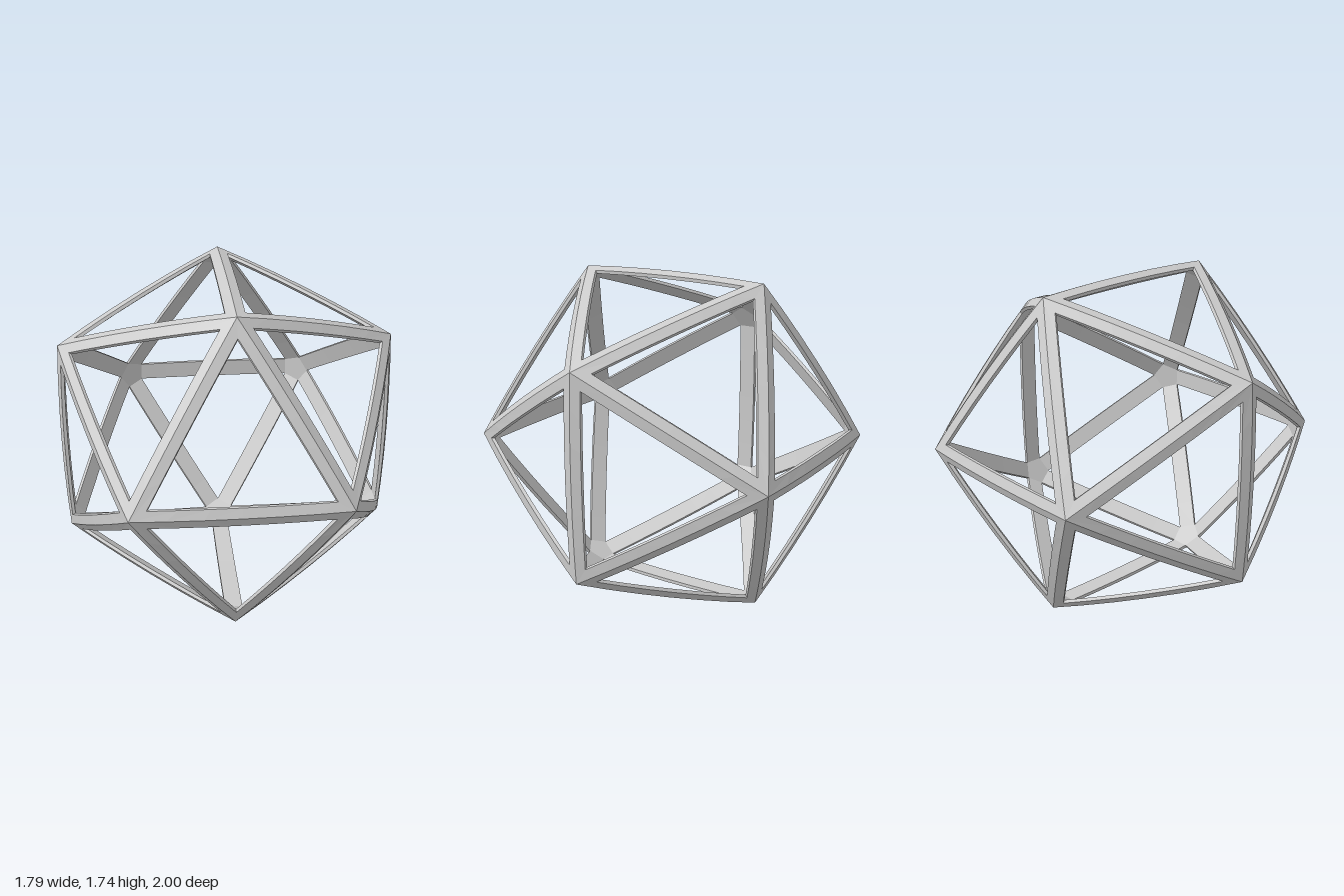
import * as THREE from 'three';

const INSET = 0.05;   // strut half width, measured in each face
const WALL = 0.018;   // depth of the strut side walls
const BULGE = 0.02;   // outward bow of each strut at mid-length
const STEPS = 6;

// Icosahedron corners: one at each end of the z axis, two rings of five between
function corners() {
  const pts = [new THREE.Vector3(0, 0, 1), new THREE.Vector3(0, 0, -1)];
  const r = 2 / Math.sqrt(5), z = 1 / Math.sqrt(5);
  for (let i = 0; i < 10; i++) {
    const a = i * Math.PI / 5;
    pts.push(new THREE.Vector3(r * Math.cos(a), r * Math.sin(a), i % 2 ? -z : z));
  }
  return pts;
}

const bow = (p, s) => p.multiplyScalar(1 + BULGE * 4 * s * (1 - s));
const sink = p => p.clone().setLength(p.length() - WALL);

// Corner at a of the triangular opening in face a, b, c
function openingCorner(a, b, c) {
  const ab = b.clone().sub(a).normalize(), ac = c.clone().sub(a).normalize();
  return a.clone().addScaledVector(ab.add(ac), INSET / Math.sin(Math.PI / 3));
}

// Ridged, bowed strut along a-b; p and q complete the two faces beside it
function strutGeometry(a, b, p, q) {
  const pos = [];
  const tri = (...v) => v.forEach(u => pos.push(u.x, u.y, u.z));
  const quad = (u, v, w, x) => { tri(u, v, w); tri(u, w, x); };
  const s0 = INSET * Math.sqrt(3) / a.distanceTo(b);
  const ends = [p, q].map(c => [openingCorner(a, b, c), openingCorner(b, a, c)]);

  const sections = [];
  for (let i = 0; i <= STEPS; i++) {
    const t = i / STEPS, s = s0 + t * (1 - 2 * s0);
    const ridge = bow(a.clone().lerp(b, t), t);
    const [P, Q] = ends.map(([u, v]) => bow(u.clone().lerp(v, t), s));
    sections.push({ ridge, P, Q, pIn: sink(P), qIn: sink(Q) });
  }
  for (let i = 0; i < STEPS; i++) {
    const m = sections[i], n = sections[i + 1];
    quad(m.ridge, n.ridge, n.P, m.P);   // outer slopes
    quad(m.ridge, m.Q, n.Q, n.ridge);
    quad(m.P, n.P, n.pIn, m.pIn);       // side walls
    quad(m.Q, m.qIn, n.qIn, n.Q);
    quad(m.pIn, n.pIn, n.qIn, m.qIn);   // flat inside
  }
  // This strut's share of the pentagonal pad inside each corner
  const first = sections[0], last = sections[STEPS];
  tri(a.clone().multiplyScalar(first.pIn.dot(a)), first.pIn, first.qIn);
  tri(b.clone().multiplyScalar(last.pIn.dot(b)), last.qIn, last.pIn);

  const geo = new THREE.BufferGeometry();
  geo.setAttribute('position', new THREE.Float32BufferAttribute(pos, 3));
  geo.computeVertexNormals();
  return geo;
}

export function createModel() {
  const model = new THREE.Group();
  model.name = 'icosahedronFrame';
  const material = new THREE.MeshStandardMaterial({ color: 0xcccccc, flatShading: true });
  const pts = corners();
  const joined = (u, v) => u !== v && u.distanceTo(v) < 1.1;

  pts.forEach((a, i) => pts.slice(i + 1).forEach(b => {
    if (!joined(a, b)) return;
    const [c, d] = pts.filter(v => joined(v, a) && joined(v, b));
    const up = b.clone().sub(a).cross(c.clone().sub(a)).dot(a) > 0;
    const strut = new THREE.Mesh(strutGeometry(a, b, up ? c : d, up ? d : c), material);
    strut.name = 'strut';
    model.add(strut);
  }));

  // Rest the lowest bowed strut on the ground
  const box = new THREE.Box3().setFromObject(model);
  model.position.y = -box.min.y;
  return model;
}
